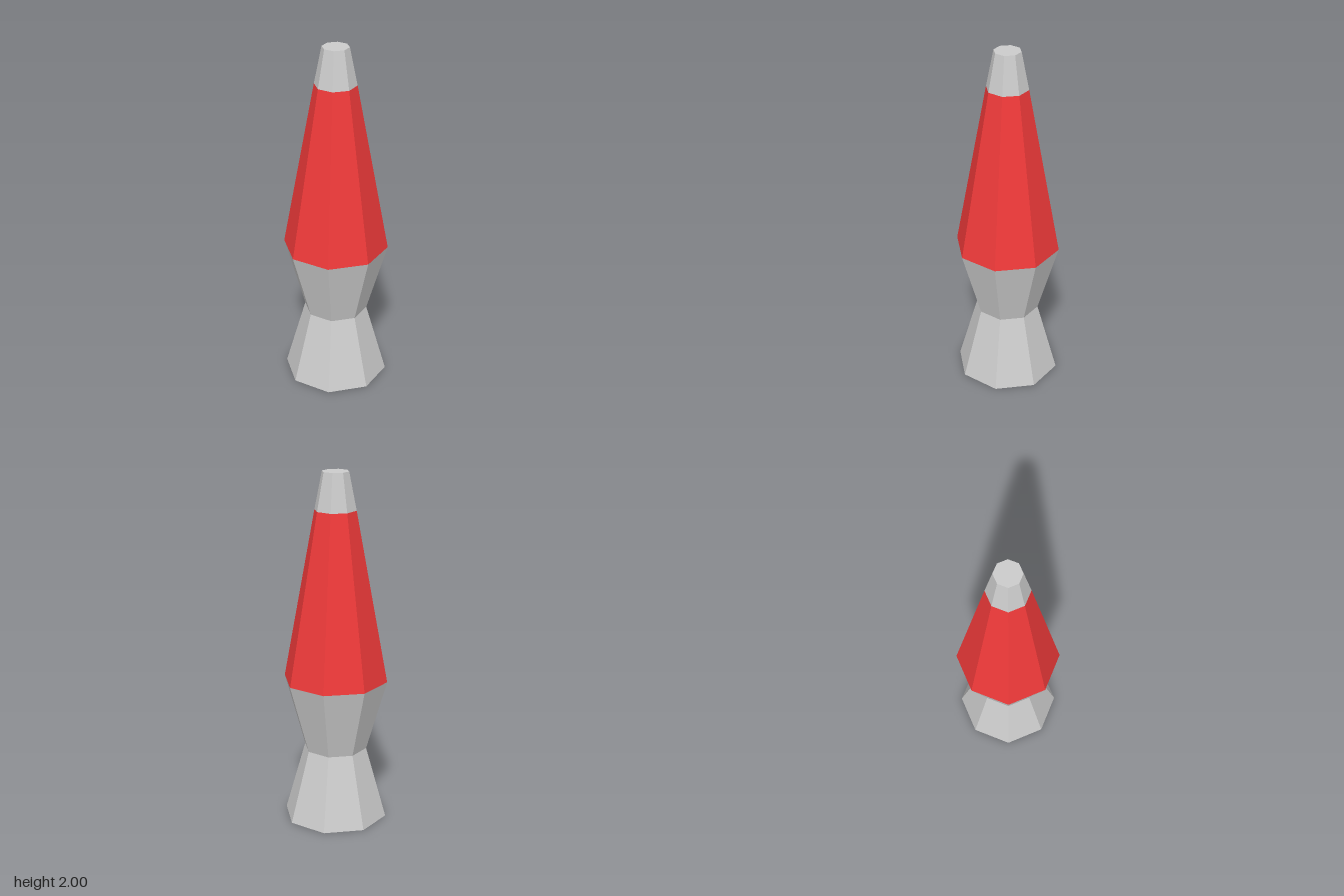
import * as THREE from 'three';

const SIDES = 8;

export function createModel() {
  const lamp = new THREE.Group();
  lamp.name = 'lavaLamp';

  const metal = new THREE.MeshStandardMaterial({ color: 0xcccccc, flatShading: true });
  const glass = new THREE.MeshStandardMaterial({ color: 0xf03a3a, flatShading: true });

  // One tapered eight-sided section between two heights, with corners on the axes
  function addSection(name, material, [rBottom, yBottom], [rTop, yTop], open = true) {
    const height = yTop - yBottom;
    const geometry = new THREE.CylinderGeometry(rTop, rBottom, height, SIDES, 1, open);
    const mesh = new THREE.Mesh(geometry, material);
    mesh.name = name;
    mesh.position.y = yBottom + height / 2;
    lamp.add(mesh);
  }

  // Rings as [radius, height], from the ground up
  const foot = [0.297, 0];
  const waist = [0.18, 0.415];
  const shoulder = [0.297, 0.825];
  const neck = [0.117, 1.79];
  const tip = [0.075, 2];

  // The end sections are closed so the underside and the tip are capped
  addSection('base', metal, foot, waist, false);
  addSection('glassHolder', metal, waist, shoulder);
  addSection('glassBottle', glass, shoulder, neck);
  addSection('cap', metal, neck, tip, false);

  return lamp;
}
